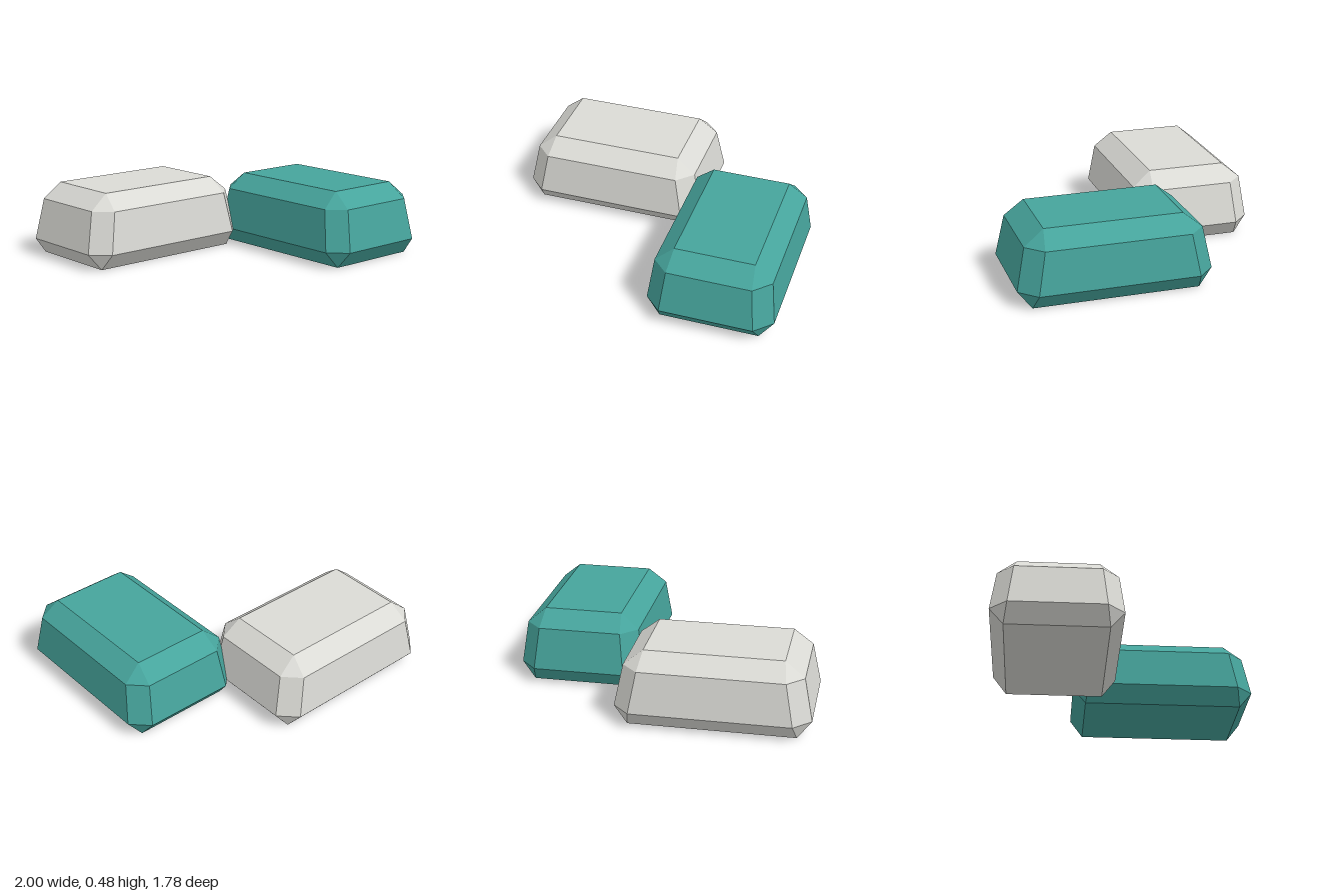
import * as THREE from 'three';

const LENGTH = 1.24, WIDTH = 0.825;

// Cross-sections from bottom to top: height, insets along length and width, corner cut
const SECTIONS = [
  { y: 0, inL: 0.088, inW: 0.09, cut: 0 },
  { y: 0.11, inL: 0, inW: 0, cut: 0.11 },
  { y: 0.38, inL: 0.055, inW: 0.035, cut: 0.105 },
  { y: 0.48, inL: 0.18, inW: 0.155, cut: 0 },
];

// Rectangle with cut corners, counter-clockwise seen from above
function ring({ y, inL, inW, cut }) {
  const hx = LENGTH / 2 - inL, hz = WIDTH / 2 - inW;
  const points = [];
  for (const [sx, sz] of [[1, -1], [-1, -1], [-1, 1], [1, 1]]) {
    const a = new THREE.Vector3(sx * hx, y, sz * (hz - cut));
    const b = new THREE.Vector3(sx * (hx - cut), y, sz * hz);
    points.push(...(sx * sz < 0 ? [a, b] : [b, a]));
  }
  return points;
}

// Faceted block: skin between the sections plus two caps
function blockGeometry() {
  const rings = SECTIONS.map(ring);
  const positions = [];
  const tri = (a, b, c) => {
    if (new THREE.Triangle(a, b, c).getArea() < 1e-8) return; // merged corners
    for (const p of [a, b, c]) positions.push(p.x, p.y, p.z);
  };
  for (let k = 0; k < rings.length - 1; k++) {
    const lo = rings[k], hi = rings[k + 1];
    for (let i = 0; i < 8; i++) {
      const j = (i + 1) % 8;
      tri(lo[i], lo[j], hi[j]);
      tri(lo[i], hi[j], hi[i]);
    }
  }
  const bottom = rings[0], top = rings[rings.length - 1];
  for (let i = 1; i < 7; i++) {
    tri(top[0], top[i], top[i + 1]);
    tri(bottom[0], bottom[i + 1], bottom[i]);
  }
  const geometry = new THREE.BufferGeometry();
  geometry.setAttribute('position', new THREE.Float32BufferAttribute(positions, 3));
  geometry.computeVertexNormals();
  return geometry;
}

export function createModel() {
  const model = new THREE.Group();
  model.name = 'bevelledBlocks';
  const geometry = blockGeometry();

  const addBlock = (name, color, x, z, turn) => {
    const material = new THREE.MeshStandardMaterial({ color, flatShading: true });
    material.name = name.replace('Block', '');
    const mesh = new THREE.Mesh(geometry, material);
    mesh.name = name;
    mesh.position.set(x, 0, z);
    mesh.rotation.y = turn;
    model.add(mesh);
  };

  // Pale block lies across the back, teal block points to the front
  addBlock('paleGreyBlock', 0xdadad5, -0.38, -0.48, 0);
  addBlock('tealBlock', 0x46a49c, 0.587, 0.27, Math.PI / 2);
  return model;
}
